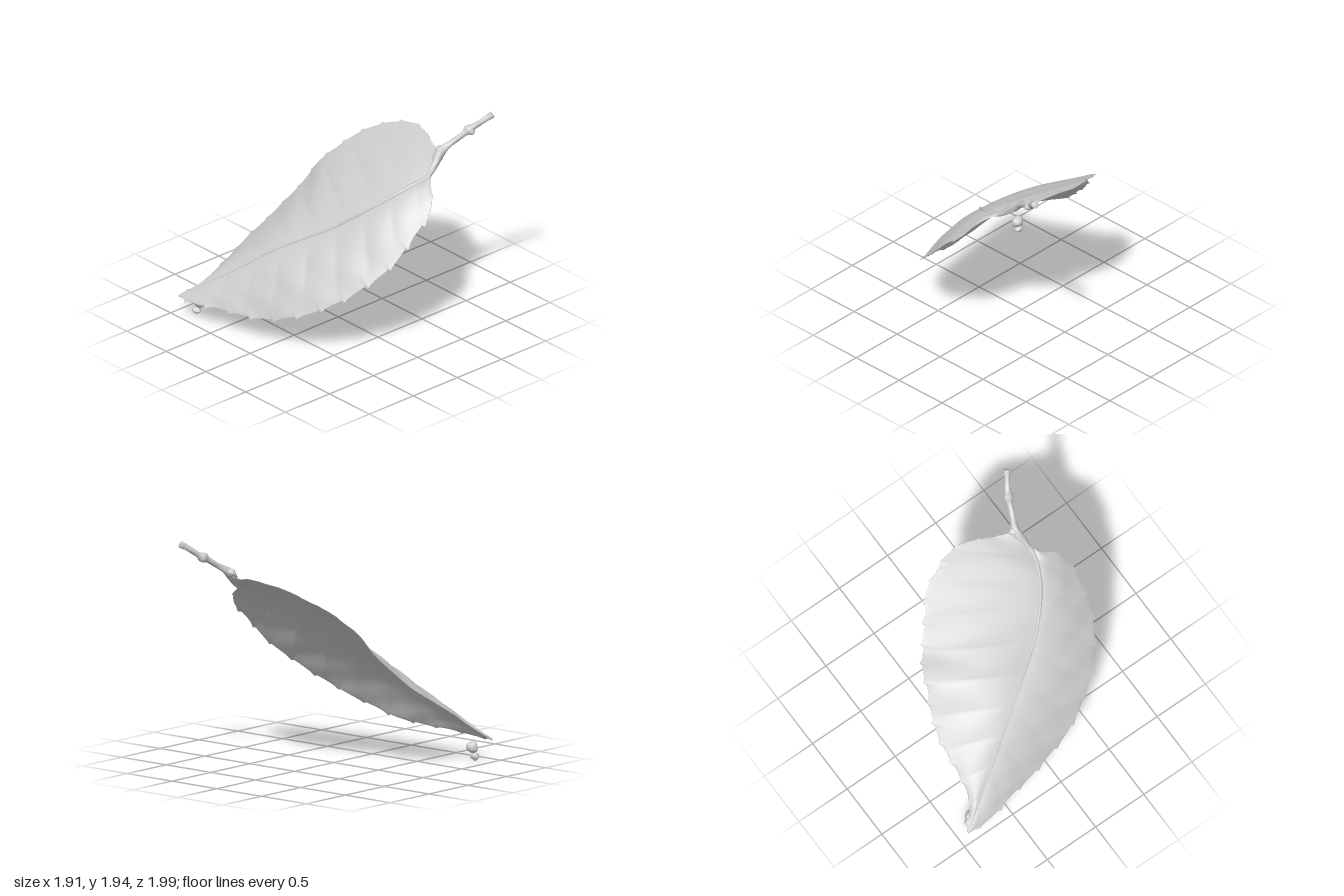
import * as THREE from 'three';

const V = (p) => new THREE.Vector3(...p);
const curve = (pts) => new THREE.CatmullRomCurve3(pts.map(V));
const UP = new THREE.Vector3(0, 0.72, 0.7); // upper side of the sloping blade

// edges and midrib, each from the stalk down to the tip
const leftEdge = curve([[.64, 1.6, -.58], [.5, 1.6, -.63], [.33, 1.63, -.7], [.13, 1.63, -.74], [-.1, 1.57, -.67],
  [-.27, 1.48, -.57], [-.39, 1.36, -.42], [-.51, 1.21, -.28], [-.58, 1.06, -.19], [-.62, .93, -.06],
  [-.68, .8, .06], [-.745, .62, .3], [-.76, .45, .6], [-.8, .31, .8], [-.94, .175, .955]]);
const rightEdge = curve([[.69, 1.56, -.53], [.71, 1.48, -.42], [.78, 1.44, -.34], [.87, 1.38, -.28], [.93, 1.28, -.2],
  [.94, 1.12, -.02], [.91, .93, .17], [.84, .79, .31], [.74, .68, .44], [.63, .57, .55], [.4, .42, .7], [.2, .33, .78],
  [0, .265, .83], [-.25, .225, .885], [-.5, .21, .93], [-.7, .18, .97], [-.93, .17, .975]]);
const midrib = curve([[.67, 1.58, -.56], [.7, 1.46, -.38], [.65, 1.4, -.22], [.55, 1.3, -.06], [.4, 1.16, .1],
  [.2, 1.0, .25], [0, .87, .38], [-.2, .74, .51], [-.5, .5, .7], [-.75, .31, .85], [-.94, .17, .97]]);

// skin a list of rings with quads; ring points run around a closed section
function loft(rings) {
  const n = rings[0].length, pos = [], idx = [];
  rings.forEach((r) => r.forEach((p) => pos.push(p.x, p.y, p.z)));
  for (let i = 0; i < rings.length - 1; i++) {
    for (let j = 0; j < n; j++) {
      const a = i * n + j, b = i * n + (j + 1) % n;
      idx.push(a, a + n, b, b, a + n, b + n);
    }
  }
  const g = new THREE.BufferGeometry();
  g.setAttribute('position', new THREE.Float32BufferAttribute(pos, 3));
  g.setIndex(idx);
  g.computeVertexNormals();
  return g;
}

// round tube whose radius follows a rule, closed to a point at both ends
function taperedTube(path, steps, sides, radius) {
  const frames = path.computeFrenetFrames(steps, false);
  const rings = [];
  for (let i = -1; i <= steps + 1; i++) {
    const k = Math.min(Math.max(i, 0), steps), t = k / steps;
    const c = path.getPointAt(t), r = i === k ? radius(t) : 0;
    rings.push(Array.from({ length: sides }, (_, j) => {
      const a = -j / sides * Math.PI * 2;
      const rr = r * (1 + 0.07 * Math.sin(a * 3 + t * 25));
      return c.clone().addScaledVector(frames.normals[k], Math.cos(a) * rr)
        .addScaledVector(frames.binormals[k], Math.sin(a) * rr);
    }));
  }
  return loft(rings);
}

// blade: arched halves, side veins, toothed edge, thin underside
function bladeGeometry() {
  const STEPS = 220, HALF = 14, rings = [];
  for (let i = 0; i <= STEPS; i++) {
    const t = i / STEPS, m = midrib.getPointAt(t);
    const full = Math.sin(Math.PI * Math.min(1, t * 0.95 + 0.03));
    const top = [], bottom = [];
    for (let j = -HALF; j <= HALF; j++) {
      const u = j / HALF, w = Math.abs(u);
      const e = (j < 0 ? leftEdge : rightEdge).getPointAt(t);
      const out = e.clone().sub(m);
      const saw = Math.pow((t * (j < 0 ? 17 : 14) + 0.3) % 1, 5);
      const tooth = 0.035 * saw * Math.pow(w, 14) * Math.min(1, t * 6);
      const p = m.clone().addScaledVector(out, w);
      p.addScaledVector(out.normalize(), tooth);
      const s = t - 0.1 * w + (j < 0 ? 0.03 : 0);
      const vein = Math.pow(Math.abs(Math.sin(s * Math.PI * 10)), 0.6) - 0.6;
      const arch = 0.045 * Math.sin(Math.PI * Math.pow(w, 0.8)) * full;
      const ripple = 0.012 * vein * Math.sin(Math.PI * w) * full
        + 0.004 * Math.sin(t * 47 + u * 9) * w * full;
      p.addScaledVector(UP, arch + ripple);
      top.push(p);
      bottom.push(p.clone().addScaledVector(UP, -0.004 - 0.012 * (1 - w * w)));
    }
    rings.push([...top, ...bottom.reverse()]);
  }
  return loft(rings);
}

// lumpy bead: a sphere pushed in and out by waves
function beadGeometry(r, phase, lump) {
  const g = new THREE.SphereGeometry(r, 20, 14), p = g.attributes.position, v = new THREE.Vector3();
  for (let i = 0; i < p.count; i++) {
    v.fromBufferAttribute(p, i);
    const d = v.clone().divideScalar(r);
    v.multiplyScalar(1 + lump * Math.sin(d.x * 3 + phase) * Math.cos(d.y * 4 - phase) + lump * 0.6 * Math.sin(d.z * 5 + phase));
    p.setXYZ(i, v.x, v.y, v.z);
  }
  g.computeVertexNormals();
  return g;
}

export function createModel() {
  const group = new THREE.Group();
  const mat = new THREE.MeshStandardMaterial({ color: 0xcccccc, side: THREE.DoubleSide });
  const add = (name, geo, at = [0, 0, 0], scale = [1, 1, 1]) => {
    const m = new THREE.Mesh(geo, mat);
    m.name = name;
    m.position.set(...at);
    m.scale.set(...scale);
    group.add(m);
  };
  const bump = (t, c, w) => Math.exp(-(((t - c) / w) ** 2));

  add('blade', bladeGeometry());
  add('midrib', taperedTube(midrib, 90, 8, (t) => 0.004 + 0.018 * Math.pow(1 - t, 1.5)));

  // stalk with a swollen joint near the top and a flared foot
  const stalk = curve([[.69, 1.44, -.36], [.685, 1.53, -.47], [.66, 1.62, -.57], [.705, 1.7, -.68],
    [.76, 1.79, -.82], [.81, 1.85, -.9], [.86, 1.905, -.975]]);
  add('stalk', taperedTube(stalk, 60, 14, (t) =>
    0.024 + 0.018 * bump(t, 0.32, 0.1) + 0.02 * bump(t, 0.71, 0.04) + 0.006 * bump(t, 1, 0.05)
    - 0.012 * bump(t, 0, 0.12)));
  add('stalkBud', beadGeometry(0.028, 1, 0.08), [.78, 1.77, -.81]);
  add('footBud', beadGeometry(0.042, 2, 0.08), [.645, 1.63, -.58], [1.1, .85, 1]);

  // beads hanging under the tip
  add('upperBead', beadGeometry(0.05, 0.6, 0.08), [-.82, .11, .835], [1.1, 1, .9]);
  add('lowerBead', beadGeometry(0.035, 2.2, 0.14), [-.845, .03, .845], [1.05, .85, 1.1]);
  return group;
}
